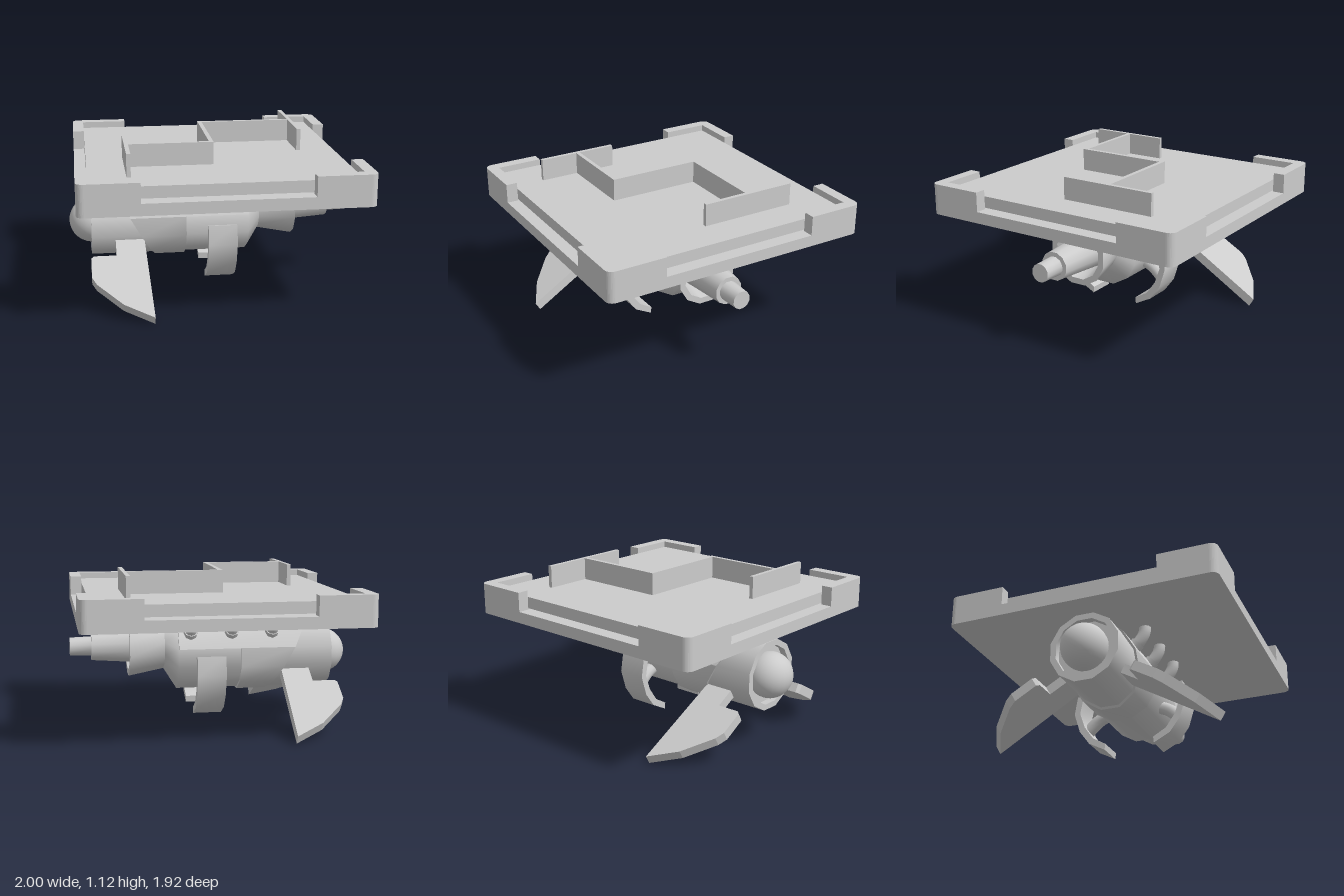
import * as THREE from 'three';
import { toCreasedNormals } from 'three/addons/utils/BufferGeometryUtils.js';

const mat = new THREE.MeshStandardMaterial({ color: 0xcccccc, side: THREE.DoubleSide });
const SIDES = 12, AXIS_Y = 0.505, AXIS_Z = 0.01;

function add(parent, name, geo, x = 0, y = 0, z = 0) {
  const mesh = new THREE.Mesh(geo, mat);
  mesh.name = name;
  mesh.position.set(x, y, z);
  parent.add(mesh);
  return mesh;
}

// Skin of twelve-sided rings [x, centreY, apothem]; x may depend on y.
function loft(rings, first = 0, count = SIDES) {
  const point = ([x, cy, r], j) => {
    const a = ((j + 0.5) / SIDES) * Math.PI * 2;
    const R = r / Math.cos(Math.PI / SIDES);
    const y = cy + R * Math.sin(a);
    return [typeof x === 'function' ? x(y) : x, y, AXIS_Z + R * Math.cos(a)];
  };
  const pos = [];
  for (let i = 0; i < rings.length - 1; i++) {
    for (let j = first; j < first + count; j++) {
      const a = point(rings[i], j), b = point(rings[i + 1], j);
      const c = point(rings[i + 1], j + 1), d = point(rings[i], j + 1);
      pos.push(...a, ...b, ...c, ...a, ...c, ...d);
    }
  }
  const geo = new THREE.BufferGeometry();
  geo.setAttribute('position', new THREE.Float32BufferAttribute(pos, 3));
  geo.computeVertexNormals();
  return toCreasedNormals(geo, 1.05);
}

const polygon = (pts) => new THREE.Shape(pts.map(([x, y]) => new THREE.Vector2(x, y)));
const extrude = (shape, depth) =>
  new THREE.ExtrudeGeometry(shape, { depth, bevelEnabled: false, curveSegments: 4 });

function buildPlatform() {
  const g = new THREE.Group();
  g.name = 'platform';
  g.position.set(0.008, 0, -0.003);
  const H = 0.96, N = 0.557, I = 0.88, R = 0.05;

  // Rounded square base
  const base = new THREE.Shape();
  base.absarc(H - R, H - R, R, 0, Math.PI / 2);
  base.absarc(R - H, H - R, R, Math.PI / 2, Math.PI);
  base.absarc(R - H, R - H, R, Math.PI, Math.PI * 1.5);
  base.absarc(H - R, R - H, R, Math.PI * 1.5, Math.PI * 2);
  add(g, 'basePlate', extrude(base, 0.08).rotateX(-Math.PI / 2), 0, 0.805, 0);

  // Raised floor, just clear of the base
  add(g, 'floorSlab', new THREE.BoxGeometry(I * 2, 0.08, I * 2), 0, 0.935, 0);

  // L-shaped corner walls
  const corner = new THREE.Shape();
  corner.moveTo(H, N);
  corner.lineTo(H, H - R);
  corner.absarc(H - R, H - R, R, 0, Math.PI / 2);
  corner.lineTo(N, H);
  corner.lineTo(N, I);
  corner.lineTo(I, I);
  corner.lineTo(I, N);
  const cornerGeo = extrude(corner, 0.137).rotateX(-Math.PI / 2);
  for (let i = 0; i < 4; i++) {
    add(g, 'cornerWall', cornerGeo, 0, 0.883, 0).rotation.y = (i * Math.PI) / 2;
  }
  return g;
}

// Thin upright walls on the floor: [x0, x1, z0, z1]
function buildDividers() {
  const g = new THREE.Group();
  g.name = 'dividers';
  const walls = [
    [-0.62, -0.592, 0.09, 0.655],
    [-0.592, -0.018, 0.358, 0.386],
    [-0.047, -0.018, -0.257, 0.358],
    [-0.047, 0.62, -0.287, -0.257],
    [0.62, 0.648, -0.612, 0.067],
  ];
  for (const [x0, x1, z0, z1] of walls) {
    add(g, 'dividerWall', new THREE.BoxGeometry(x1 - x0, 0.16, z1 - z0),
      (x0 + x1) / 2, 1.05, (z0 + z1) / 2);
  }
  return g;
}

function buildEngine() {
  const g = new THREE.Group();
  g.name = 'engine';
  const Y = AXIS_Y, NY = 0.576;

  // Body with recessed front rim, tapering to an offset neck
  add(g, 'engineBody', loft([
    [-0.8, Y, 0.001], [-0.8, Y, 0.2], [-0.85, Y, 0.2], [-0.85, Y, 0.24],
    [0.25, Y, 0.24], [0.34, 0.57, 0.16],
  ]));
  add(g, 'noseDome', new THREE.SphereGeometry(0.16, 24, 16), -0.84, Y, AXIS_Z);

  // Outer cover: slanted front edge, stepped rear edge
  const slant = (y) => -0.685 + ((0.76 - y) / 0.51) * 0.285;
  const cover = (rear, first, count) => loft([
    [slant, Y, 0.235], [slant, Y, 0.255], [rear, Y, 0.255], [rear, Y, 0.235],
  ], first, count);
  add(g, 'upperCover', cover(0.25, 0, 5));
  add(g, 'lowerCover', cover(-0.19, 5, 7));

  // Flared hollow nozzle and stepped exhaust
  add(g, 'nozzle', loft([
    [0.34, 0.57, 0.16], [0.59, NY, 0.212], [0.59, NY, 0.17],
    [0.42, NY, 0.13], [0.42, NY, 0.001],
  ]));
  add(g, 'exhaust', loft([
    [0.4, NY, 0.13], [0.59, NY, 0.115], [0.85, NY, 0.097],
    [0.85, NY, 0.067], [1, NY, 0.062], [1, NY, 0.001],
  ]));
  return g;
}

// Fins, claws and struts, repeated on both sides
function buildSide(s) {
  const g = new THREE.Group();
  g.name = s > 0 ? 'frontSide' : 'backSide';
  g.position.z = AXIS_Z;

  // Swept fin: outline as [x, distance from engine axis]
  const fin = extrude(polygon([
    [-0.685, 0.2], [-0.485, 0.2], [-0.46, 0.93], [-0.66, 0.81],
    [-0.83, 0.63], [-0.86, 0.57], [-0.86, 0.4], [-0.84, 0.38], [-0.685, 0.38],
  ]), 0.066).translate(0, 0, -0.033);
  add(g, 'fin', fin, 0, AXIS_Y, 0).rotation.x = (s * Math.PI * 2) / 3;

  // Curved claw on a short arm: outline as [z, y]
  const claw = extrude(polygon([
    [0.4, 0.545], [0.423, 0.41], [0.38, 0.27], [0.305, 0.168], [0.185, 0.105],
    [0.18, 0.15], [0.275, 0.205], [0.342, 0.3], [0.38, 0.41], [0.355, 0.535],
  ].map(([z, y]) => [z * s, y])), 0.2).rotateY(-Math.PI / 2);
  add(g, 'claw', toCreasedNormals(claw, 0.8), 0.145, 0, 0);
  const arm = new THREE.CatmullRomCurve3([
    new THREE.Vector3(0.045, 0.42, 0.17 * s),
    new THREE.Vector3(0.045, 0.375, 0.27 * s),
    new THREE.Vector3(0.045, 0.29, 0.365 * s),
  ]);
  add(g, 'clawArm', new THREE.TubeGeometry(arm, 8, 0.046, 12));

  // Bent struts with collars, holding the platform
  const path = new THREE.CatmullRomCurve3([
    new THREE.Vector3(0, 0.82, 0.265 * s), new THREE.Vector3(0, 0.77, 0.26 * s),
    new THREE.Vector3(0, 0.71, 0.225 * s), new THREE.Vector3(0, 0.64, 0.15 * s),
  ]);
  const strutGeo = new THREE.TubeGeometry(path, 12, 0.041, 12);
  const collarGeo = new THREE.CylinderGeometry(0.05, 0.05, 0.04, 8);
  for (const x of [-0.42, -0.13, 0.163]) {
    add(g, 'strut', strutGeo, x, 0, 0);
    add(g, 'strutCollar', collarGeo, x, 0.685, 0.198 * s).rotation.x = s * 0.8;
  }
  return g;
}

export function createModel() {
  const model = new THREE.Group();
  model.name = 'flyingPlatform';
  model.add(buildPlatform(), buildDividers(), buildEngine(), buildSide(1), buildSide(-1));
  return model;
}
